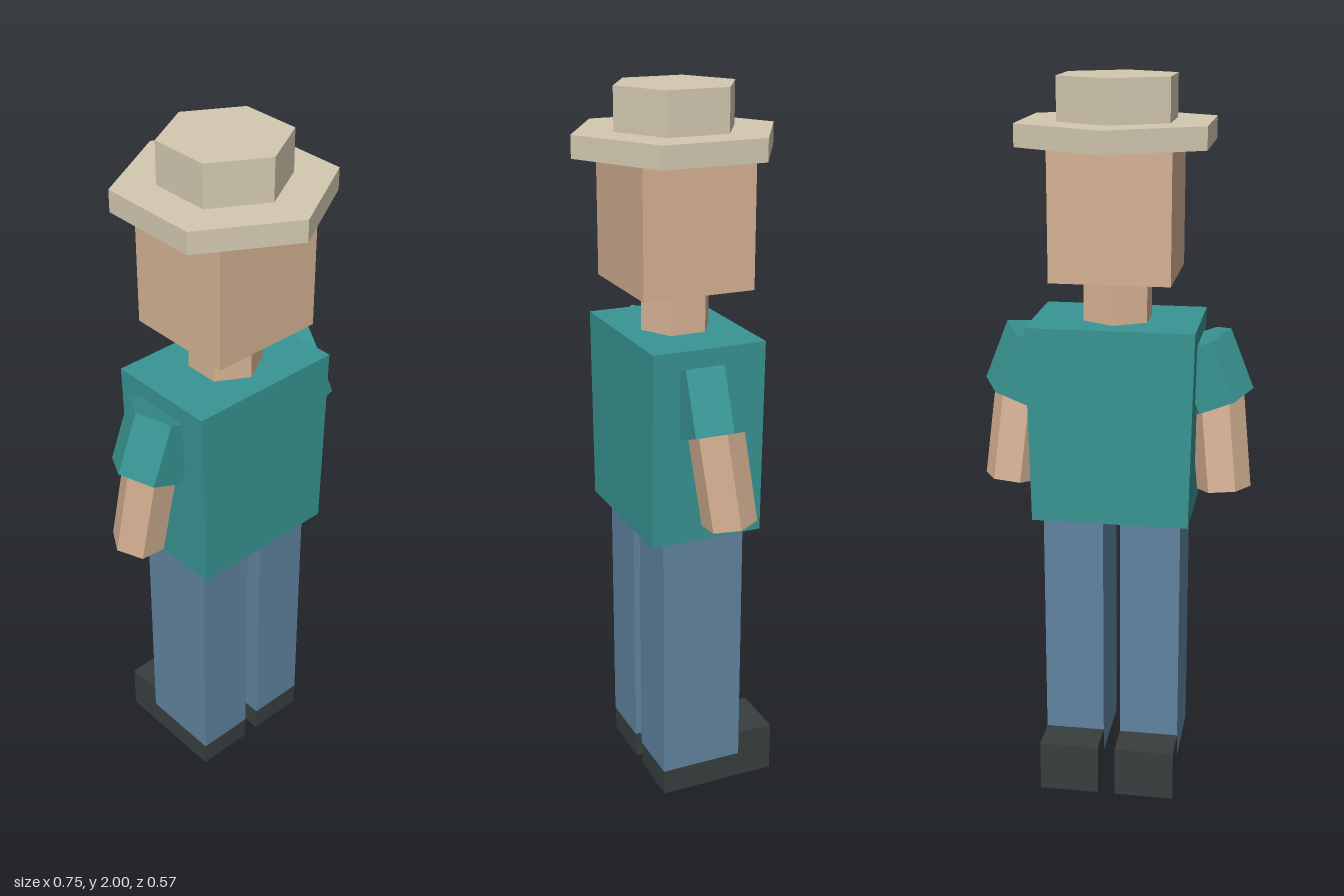
import * as THREE from 'three';

export function createModel() {
  const model = new THREE.Group();
  model.name = 'blockyMan';

  const material = (name, color) => {
    const m = new THREE.MeshStandardMaterial({ color, flatShading: true });
    m.name = name;
    return m;
  };
  const skin = material('skin', 0xd6b294);
  const shirt = material('teal shirt', 0x389593);
  const jeans = material('blue jeans', 0x6084a0);
  const straw = material('straw hat', 0xd4c9b1);
  const leather = material('dark shoes', 0x383f3f);

  const add = (name, geometry, mat) => {
    const mesh = new THREE.Mesh(geometry, mat);
    mesh.name = name;
    model.add(mesh);
    return mesh;
  };

  // Box given by its limits on each axis
  const box = (x0, x1, y0, y1, z0, z1) =>
    new THREE.BoxGeometry(x1 - x0, y1 - y0, z1 - z0)
      .translate((x0 + x1) / 2, (y0 + y1) / 2, (z0 + z1) / 2);

  // Upright six-sided prism with corners at front and back
  const hexPrism = (radius, y0, y1) =>
    new THREE.CylinderGeometry(radius, radius, y1 - y0, 6).translate(0, (y0 + y1) / 2, 0);

  // Six-sided limb from one point to another, with corners at the sides
  const limb = (name, radius, from, to, mat) => {
    const axis = from.clone().sub(to);
    const geometry = new THREE.CylinderGeometry(radius, radius, axis.length(), 6).rotateY(Math.PI / 6);
    const mesh = add(name, geometry, mat);
    mesh.position.copy(from).add(to).multiplyScalar(0.5);
    mesh.quaternion.setFromUnitVectors(new THREE.Vector3(0, 1, 0), axis.normalize());
  };

  // Hat, head and neck
  add('hatCrown', hexPrism(0.171, 1.885, 2), straw);
  add('hatBrim', hexPrism(0.287, 1.825, 1.885), straw);
  add('head', box(-0.162, 0.162, 1.477, 1.825, -0.157, 0.159), skin);
  add('neck', hexPrism(0.1, 1.355, 1.477), skin);

  // Torso, slightly narrower at the waist
  const torso = box(-0.228, 0.228, 0.81, 1.355, -0.16, 0.162);
  const p = torso.attributes.position;
  for (let i = 0; i < p.count; i++) if (p.getY(i) < 1) p.setX(i, p.getX(i) * 0.95);
  torso.computeVertexNormals();
  add('torso', torso, shirt);

  // Shoe profile: flat sole under the leg, raised toe in front of it
  const profile = new THREE.Shape(
    [[-0.118, 0], [0.225, 0], [0.225, 0.145], [0.12, 0.145], [0.12, 0.075], [-0.118, 0.075]]
      .map(([z, y]) => new THREE.Vector2(z, y)));

  for (const [side, s] of [['left', 1], ['right', -1]]) {
    // Leg and shoe
    add(side + 'Leg', box(s * 0.108 - 0.084, s * 0.108 + 0.084, 0.075, 0.81, -0.12, 0.12), jeans);
    const shoe = new THREE.ExtrudeGeometry(profile, { depth: 0.168, bevelEnabled: false });
    shoe.translate(0, 0, -0.084).rotateY(Math.PI / 2).translate(s * 0.108, 0, 0);
    add(side + 'Shoe', shoe, leather);

    // Sleeve and forearm
    limb(side + 'Sleeve', 0.1, new THREE.Vector3(s * 0.217, 1.299, 0),
      new THREE.Vector3(s * 0.282, 1.134, 0), shirt);
    limb(side + 'Forearm', 0.075, new THREE.Vector3(s * 0.273, 1.165, 0.008),
      new THREE.Vector3(s * 0.302, 0.887, -0.025), skin);
  }
  return model;
}
